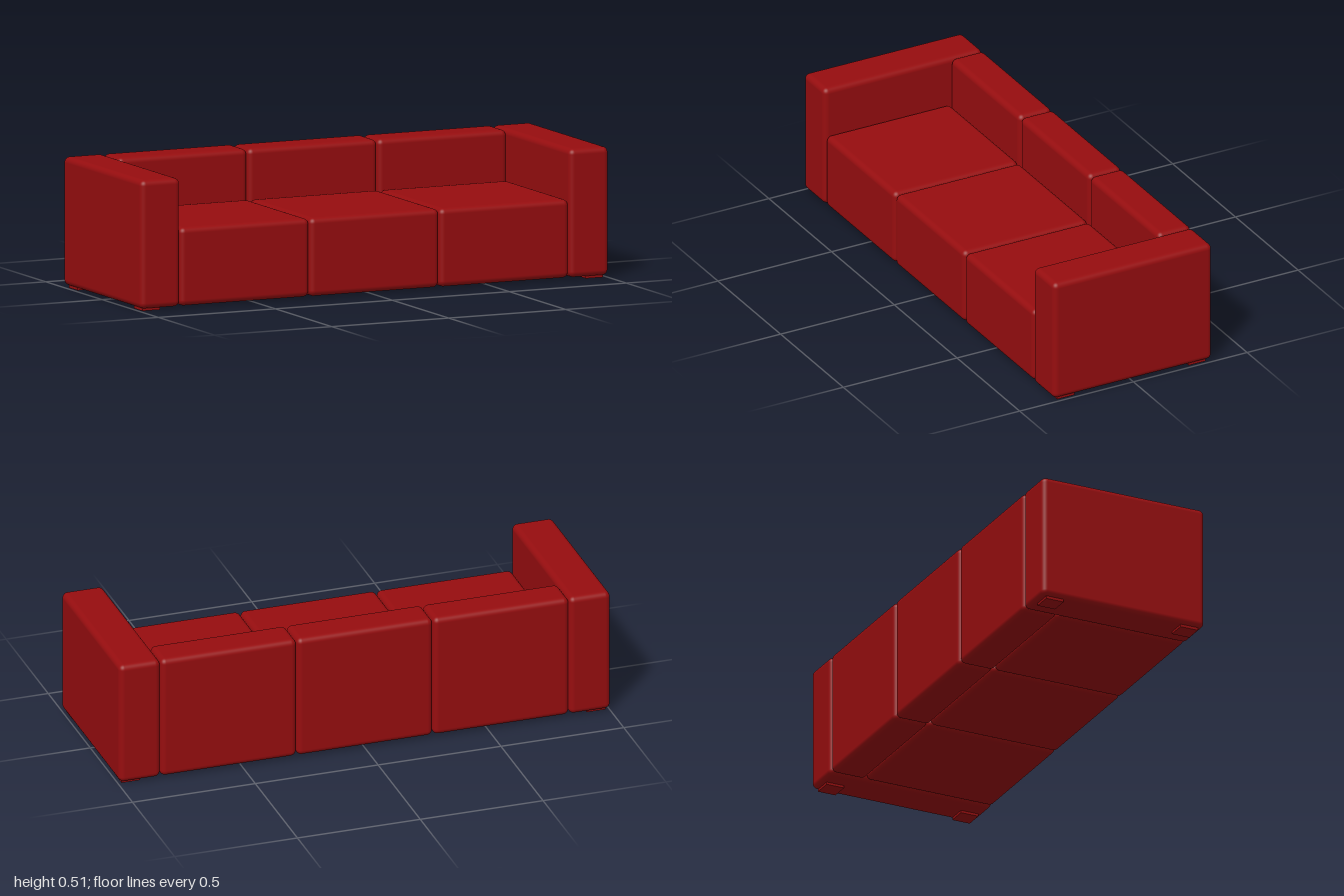
import * as THREE from 'three';
import { RoundedBoxGeometry } from 'three/addons/geometries/RoundedBoxGeometry.js';

export function createModel() {
  const sofa = new THREE.Group();
  sofa.name = 'sofa';
  const fabric = new THREE.MeshStandardMaterial({ color: 0x960d0f });

  // Upholstered block given by its extents on each axis
  function block(name, [x0, x1], [y0, y1], [z0, z1], radius = 0.022) {
    const geometry = new RoundedBoxGeometry(x1 - x0, y1 - y0, z1 - z0, 5, radius);
    const mesh = new THREE.Mesh(geometry, fabric);
    mesh.name = name;
    mesh.position.set((x0 + x1) / 2, (y0 + y1) / 2, (z0 + z1) / 2);
    sofa.add(mesh);
  }

  const base = 0.01, top = 0.51, seatTop = 0.315;
  const inner = 0.832, depth = 0.349, backFront = -0.203;

  // Three seat blocks, each with a backrest behind it
  const width = (2 * inner) / 3;
  ['right', 'middle', 'left'].forEach((side, i) => {
    const x = [-inner + i * width + 0.001, -inner + (i + 1) * width - 0.001];
    block(side + 'Seat', x, [base, seatTop], [backFront + 0.001, 0.346]);
    block(side + 'Backrest', x, [base, top], [-depth, backFront - 0.001]);
  });

  // Arms, each standing on a front and a back foot
  const footGeometry = new THREE.BoxGeometry(0.075, 0.03, 0.075);
  for (const [side, s] of [['left', 1], ['right', -1]]) {
    block(side + 'Arm', s > 0 ? [inner, 1] : [-1, -inner], [base, top], [-depth, depth]);
    for (const [end, e] of [['Front', 1], ['Back', -1]]) {
      const foot = new THREE.Mesh(footGeometry, fabric);
      foot.name = side + end + 'Foot';
      foot.position.set(s * 0.947, 0.015, e * 0.289);
      sofa.add(foot);
    }
  }

  return sofa;
}
